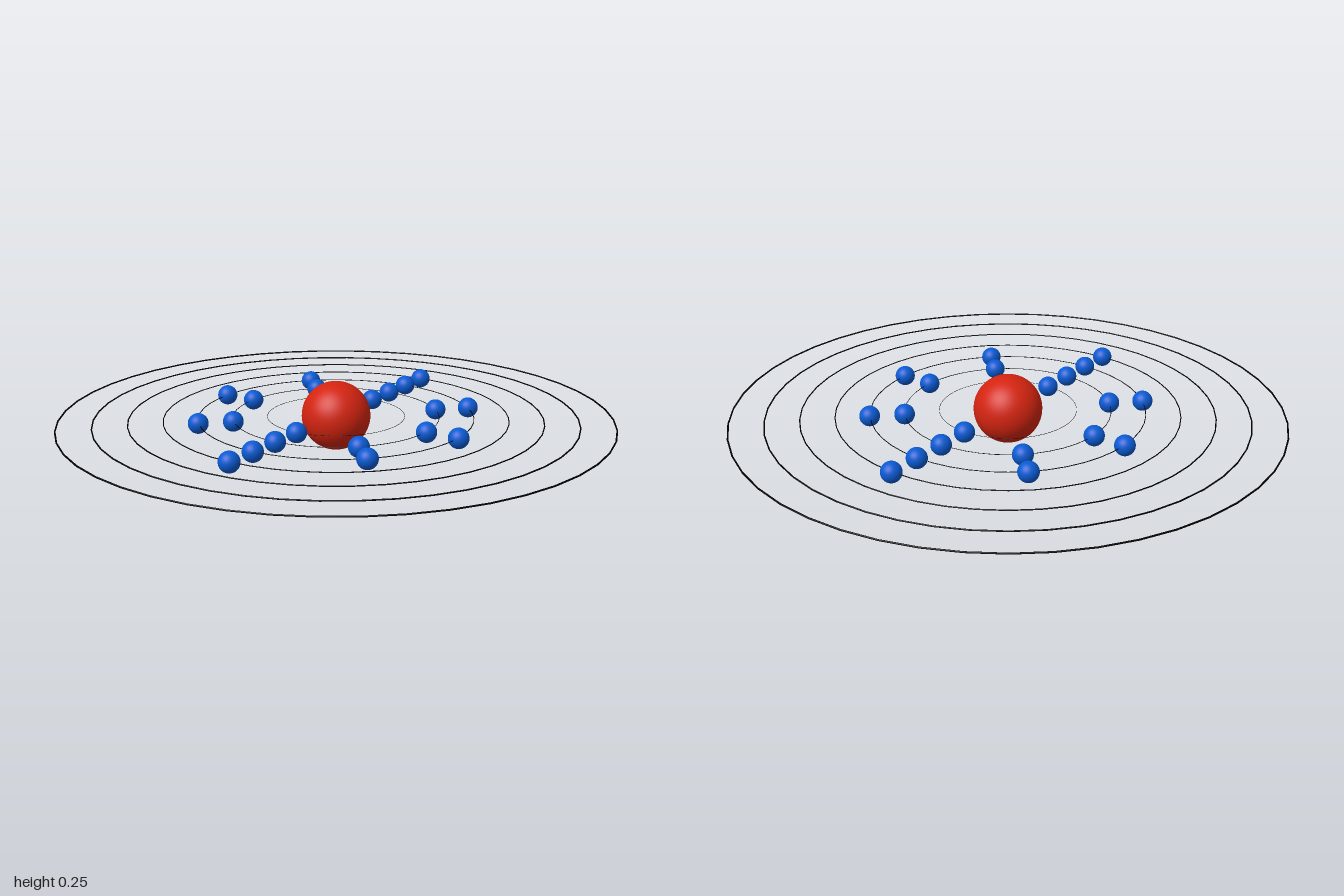
import * as THREE from 'three';

const CENTRE_Y = 0.125;
const STEP = 0.125; // spacing between neighbouring orbits

export function createModel() {
  const model = new THREE.Group();
  model.name = 'atomModel';

  const red = new THREE.MeshStandardMaterial({ color: 0xd42410 });
  const blue = new THREE.MeshStandardMaterial({ color: 0x0a5ad2 });
  const black = new THREE.MeshStandardMaterial({ color: 0x000000 });

  const add = (name, geometry, material, parent = model) => {
    const mesh = new THREE.Mesh(geometry, material);
    mesh.name = name;
    parent.add(mesh);
    return mesh;
  };

  // Nucleus
  add('nucleus', new THREE.SphereGeometry(0.125, 48, 32), red).position.y = CENTRE_Y;

  // Seven flat orbits, each wire thickening with its radius; the inner four carry electrons
  const electronCounts = [2, 8, 8, 2, 0, 0, 0];
  const electronGeometry = new THREE.SphereGeometry(0.037, 32, 20);

  electronCounts.forEach((count, i) => {
    const radius = STEP * (i + 2);
    const shell = new THREE.Group();
    shell.name = `shell${i + 1}`;
    shell.position.y = CENTRE_Y;
    model.add(shell);

    const tube = radius * 0.003;
    const ring = add('orbitRing', new THREE.TorusGeometry(radius - tube, tube, 8, 48), black, shell);
    ring.rotation.x = Math.PI / 2;

    // Electrons spread evenly, starting from the back
    for (let k = 0; k < count; k++) {
      const a = (k / count) * Math.PI * 2;
      add('electron', electronGeometry, blue, shell)
        .position.set(Math.sin(a) * radius, 0, -Math.cos(a) * radius);
    }
  });

  return model;
}
